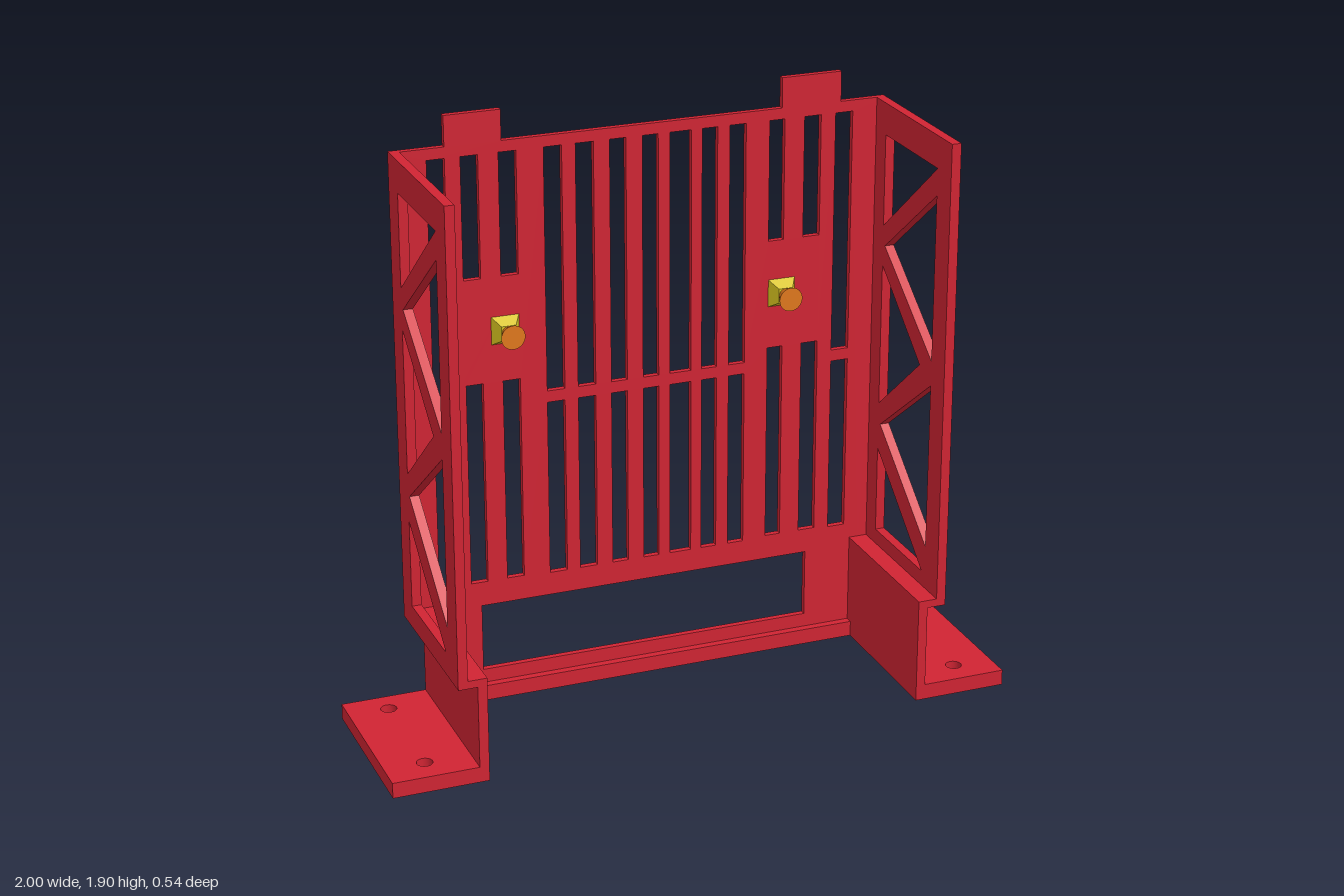
import * as THREE from 'three';

const red = new THREE.MeshStandardMaterial({ color: 0xd02433 });
const yellow = new THREE.MeshStandardMaterial({ color: 0xd8c420 });
const orange = new THREE.MeshStandardMaterial({ color: 0xe0781c });

const BACK = -0.27, PANEL_FRONT = -0.25, FRONT = 0.27;

const rect = (x0, x1, y0, y1) => [[x0, y0], [x1, y0], [x1, y1], [x0, y1]];
const toPoints = (pts) => pts.map(([x, y]) => new THREE.Vector2(x, y));

// Flat plate with polygonal holes, thickness along +z
function plate(outline, holes, depth) {
  const shape = new THREE.Shape(toPoints(outline));
  for (const h of holes) shape.holes.push(h instanceof THREE.Path ? h : new THREE.Path(toPoints(h)));
  return new THREE.ExtrudeGeometry(shape, { depth, bevelEnabled: false, curveSegments: 24 });
}

function add(parent, name, geometry, material = red) {
  const mesh = new THREE.Mesh(geometry, material);
  mesh.name = name;
  parent.add(mesh);
  return mesh;
}

function box(parent, name, x0, x1, y0, y1, z0, z1) {
  const g = new THREE.BoxGeometry(x1 - x0, y1 - y0, z1 - z0);
  g.translate((x0 + x1) / 2, (y0 + y1) / 2, (z0 + z1) / 2);
  return add(parent, name, g);
}

// Slatted back panel with top tabs and a wide lower window
function backPanel() {
  const outline = [
    [-0.73, 0], [0.73, 0], [0.73, 0.315], [0.79, 0.315], [0.79, 1.805],
    [0.64, 1.805], [0.64, 1.9], [0.445, 1.9], [0.445, 1.805],
    [-0.45, 1.805], [-0.45, 1.9], [-0.625, 1.9], [-0.625, 1.805],
    [-0.79, 1.805], [-0.79, 0.315], [-0.73, 0.315],
  ];
  const holes = [rect(-0.545, 0.545, 0.095, 0.315)];
  // Slots crossed by the thin middle rail
  const railSlots = [
    [-0.68, -0.625], [-0.32, -0.263], [-0.22, -0.163], [-0.112, -0.06], [-0.008, 0.043],
    [0.08, 0.15], [0.185, 0.235], [0.275, 0.328], [0.623, 0.68],
  ];
  for (const [a, b] of railSlots) {
    holes.push(rect(a, b, 0.39, 0.96), rect(a, b, 0.997, 1.77));
  }
  // Slots interrupted by the solid knob plates
  const plateSlots = [
    [-0.577, -0.523, 1.05], [-0.46, -0.405, 1.05], [0.405, 0.455, 1.035], [0.52, 0.575, 1.035],
  ];
  for (const [a, b, top] of plateSlots) {
    holes.push(rect(a, b, 0.395, top), rect(a, b, 1.385, 1.77));
  }
  return plate(outline, holes, PANEL_FRONT - BACK).translate(0, 0, BACK);
}

// Side truss, drawn as (-z, y) and turned to face sideways
function sideTruss() {
  const holes = [
    [[0.18, 1.705], [-0.18, 1.705], [-0.18, 1.415]],
    [[0.18, 1.62], [0.18, 1.095], [-0.166, 1.352]],
    [[-0.18, 1.285], [-0.18, 0.825], [0.1, 1.055]],
    [[0.18, 1.015], [0.18, 0.48], [-0.166, 0.757]],
    [[0.158, 0.388], [-0.18, 0.388], [-0.18, 0.67]],
  ].map((tri) => tri.map(([z, y]) => [-z, y]));
  return plate(rect(-FRONT, -PANEL_FRONT, 0.315, 1.805), holes, 0.03).rotateY(Math.PI / 2);
}

// Floor flange with two bolt holes, drawn as (x, -z) and laid flat
function flange(s) {
  const holes = [-0.19, 0.18].map((z) => new THREE.Path().absarc(s * 0.873, -z, 0.025, 0, Math.PI * 2));
  return plate(rect(s * 0.7, s, -FRONT, -BACK), holes, 0.05).rotateX(-Math.PI / 2);
}

function knob(x) {
  const g = new THREE.Group();
  g.name = 'knob';
  // Square tapered foot
  const foot = new THREE.CylinderGeometry(0.023 * Math.SQRT2, 0.044 * Math.SQRT2, 0.035, 4).toNonIndexed();
  foot.computeVertexNormals();
  foot.rotateY(Math.PI / 4).rotateX(Math.PI / 2).translate(0, 0, 0.0175);
  add(g, 'knobFoot', foot, yellow);
  // Round flared grip
  const grip = new THREE.CylinderGeometry(0.038, 0.022, 0.042, 32);
  grip.rotateX(Math.PI / 2).translate(0, 0, 0.055);
  add(g, 'knobGrip', grip, orange);
  g.position.set(x, 1.215, PANEL_FRONT);
  return g;
}

export function createModel() {
  const model = new THREE.Group();
  model.name = 'slattedGateFrame';

  add(model, 'backPanel', backPanel());
  box(model, 'baseStrip', -0.7, 0.7, 0, 0.05, PANEL_FRONT, -0.225);

  for (const s of [-1, 1]) {
    const side = new THREE.Group();
    side.name = s > 0 ? 'leftSide' : 'rightSide';
    add(side, 'sideTruss', sideTruss()).position.x = s > 0 ? 0.76 : -0.79;

    // Step shelf and lower wall joining the truss to the flange
    const [w0, w1] = s > 0 ? [0.7, 0.73] : [-0.73, -0.7];
    const [h0, h1] = s > 0 ? [0.7, 0.76] : [-0.76, -0.7];
    box(side, 'stepShelf', h0, h1, 0.315, 0.34, PANEL_FRONT, FRONT);
    box(side, 'lowerWall', w0, w1, 0.05, 0.315, PANEL_FRONT, FRONT);
    add(side, 'floorFlange', flange(s));

    model.add(side, knob(s * 0.45));
  }
  return model;
}
